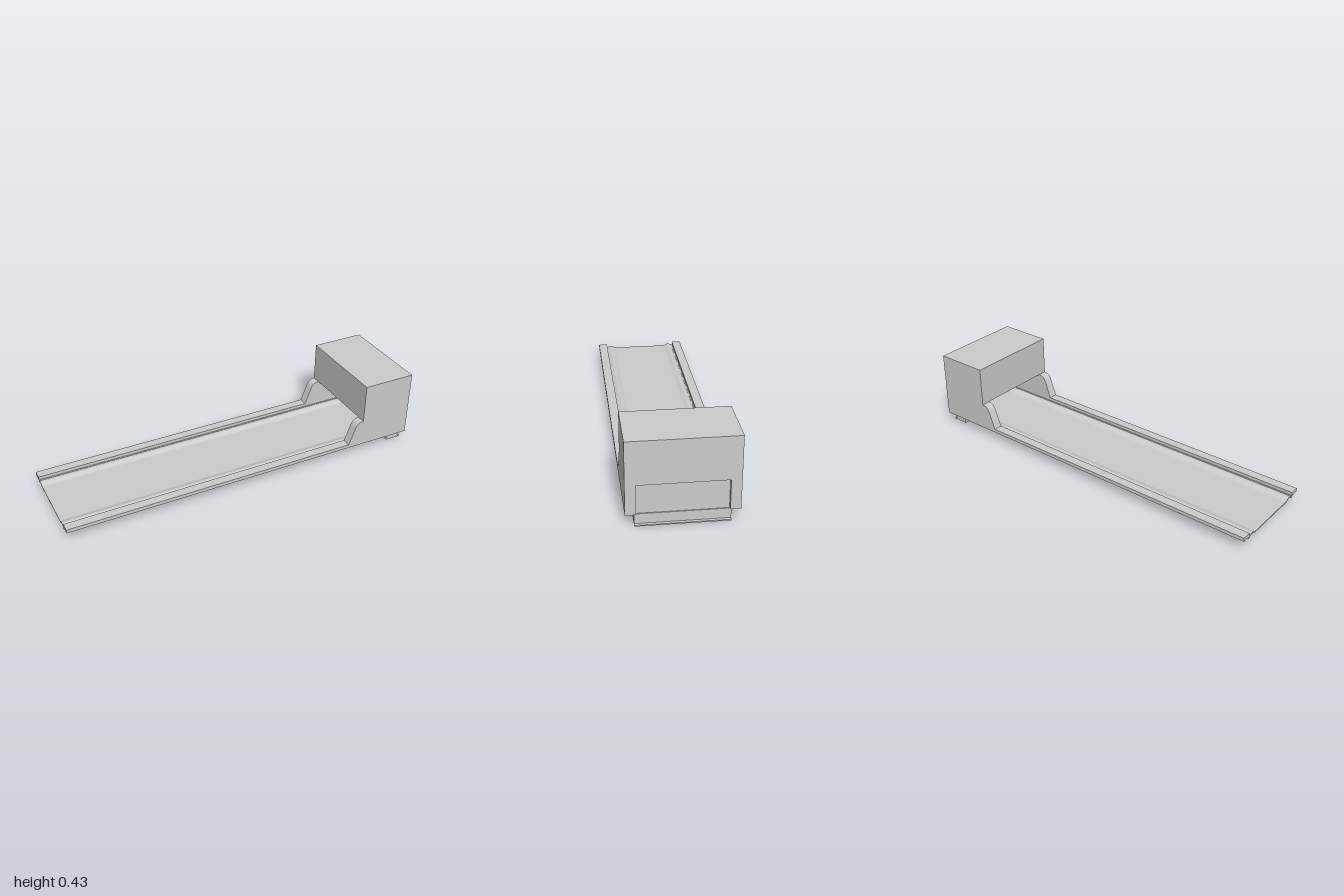
import * as THREE from 'three';

const material = new THREE.MeshStandardMaterial({ color: 0xcccccc, flatShading: true });

export function createModel() {
  const group = new THREE.Group();
  const add = (name, geometry) => {
    const mesh = new THREE.Mesh(geometry, material);
    mesh.name = name;
    group.add(mesh);
    return mesh;
  };
  // box given by its limits on each axis
  const box = (name, x0, x1, y0, y1, z0, z1) =>
    add(name, new THREE.BoxGeometry(x1 - x0, y1 - y0, z1 - z0))
      .position.set((x0 + x1) / 2, (y0 + y1) / 2, (z0 + z1) / 2);

  // side walls: long low rim, curved cheek and tall housing side in one outline
  const side = new THREE.Shape();
  side.moveTo(-1, 0.06);
  side.lineTo(1, 0.06);
  side.lineTo(1, 0.428);
  side.lineTo(0.705, 0.428);
  side.lineTo(0.705, 0.21);
  side.bezierCurveTo(0.675, 0.21, 0.667, 0.197, 0.657, 0.175);
  side.lineTo(0.622, 0.08);
  side.lineTo(-1, 0.08);
  side.closePath();
  for (const [name, z] of [['leftSideWall', 0.212], ['rightSideWall', -0.262]]) {
    const geometry = new THREE.ExtrudeGeometry(side, { depth: 0.05, bevelEnabled: false, curveSegments: 8 });
    add(name, geometry).position.z = z;
  }

  // housing block over the tunnel
  box('housing', 0.705, 1, 0.21, 0.428, -0.212, 0.212);

  // tray: thin floor with a rounded bead along each side
  const half = [[0.15, 0.057], [0.16, 0.059], [0.17, 0.064], [0.18, 0.068],
    [0.19, 0.068], [0.2, 0.064], [0.206, 0.06], [0.213, 0.06]];
  const top = [...half.map(([z, y]) => [-z, y]).reverse(), ...half];
  const section = new THREE.Shape();
  top.forEach(([z, y], i) => (i ? section.lineTo(z, y) : section.moveTo(z, y)));
  [...top].reverse().forEach(([z, y]) => section.lineTo(z, y - 0.006));
  section.closePath();
  const tray = new THREE.ExtrudeGeometry(section, { depth: 1.98, bevelEnabled: false });
  tray.rotateY(Math.PI / 2);
  add('tray', tray).position.x = -1;

  // recessed end panel, with the catch below it
  box('endPanel', 0.965, 0.98, 0.05, 0.21, -0.212, 0.212);
  box('catch', 0.91, 0.985, 0.005, 0.056, -0.22, 0.22);
  box('catchPlate', 0.91, 1, 0, 0.006, -0.22, 0.22);

  // narrow runners under the tray
  for (const s of [-1, 1]) {
    box('runner', -1, 0.91, 0.05, 0.062, s * 0.212 - 0.006, s * 0.212 + 0.006);
  }
  return group;
}
